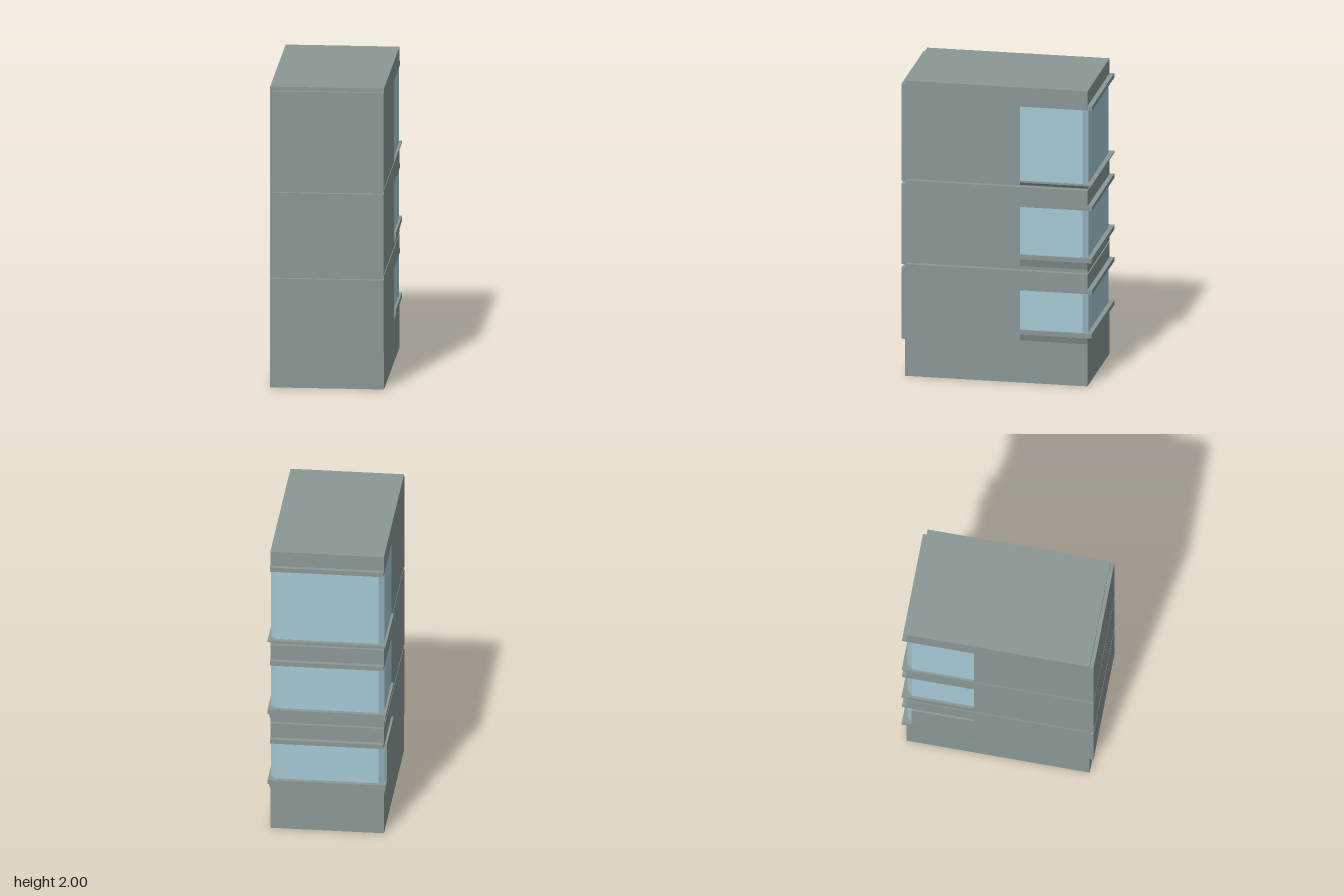
import * as THREE from 'three';

const wallMat = new THREE.MeshStandardMaterial({ color: 0x8a9896 });
const glassMat = new THREE.MeshStandardMaterial({ color: 0xa5c8d4 });

const W = 0.37, BACK = -0.6, FRONT = 0.605; // wall planes
const WIN = -0.155;                         // front edge of the corner windows
const OUT = 0.385, REAR = -0.63;            // outer planes of the trim
const CUT = 0.035;                          // chamfer of the glazed corners

// Each storey: wall bottom/top, window bottom/top, sill lip and slope bottoms, front panel
const storeys = [
  { y: [0, 0.757], win: [0.36, 0.625], lip: 0.33, slope: 0.285, panel: [0.25, 0.73] },
  { y: [0.768, 1.325], win: [0.87, 1.19], lip: 0.84, slope: 0.79, panel: [0.757, 1.3] },
  { y: [1.335, 2], win: [1.37, 1.87], lip: 1.36, slope: 1.34, panel: [1.32, 1.975] },
];

function box(name, x, y, z) {
  const g = new THREE.BoxGeometry(x[1] - x[0], y[1] - y[0], z[1] - z[0]);
  g.translate((x[0] + x[1]) / 2, (y[0] + y[1]) / 2, (z[0] + z[1]) / 2);
  const m = new THREE.Mesh(g, wallMat);
  m.name = name;
  return m;
}

function extrude(name, pts, depth, mat) {
  const shape = new THREE.Shape(pts.map(([x, y]) => new THREE.Vector2(x, y)));
  const m = new THREE.Mesh(new THREE.ExtrudeGeometry(shape, { depth, bevelEnabled: false }), mat);
  m.name = name;
  return m;
}

function buildStorey(s, index) {
  const group = new THREE.Group();
  group.name = `storey${index + 1}`;
  const [w0, w1] = s.win;

  // Walls below, beside and above the wrap-around window
  group.add(box('lowerWall', [-W, W], [s.y[0], w0], [BACK, FRONT]));
  group.add(box('middleWall', [-W, W], s.win, [WIN, FRONT]));
  group.add(box('upperWall', [-W, W], [w1, s.y[1]], [BACK, FRONT]));
  group.add(box('frontPanel', [-W, W], s.panel, [FRONT, 0.63]));

  // Glazing with chamfered rear corners, plan drawn as (x, -z)
  const glass = extrude('window', [
    [-W, -WIN], [W, -WIN], [W, -BACK - CUT], [W - CUT, -BACK],
    [-W + CUT, -BACK], [-W, -BACK - CUT],
  ], w1 - w0, glassMat);
  glass.geometry.rotateX(-Math.PI / 2).translate(0, w0, 0);
  group.add(glass);

  // Rear lintel and sill
  group.add(box('rearLintel', [-W, W], [w1, w1 + 0.03], [REAR, BACK]));
  group.add(box('rearSill', [-OUT, OUT], [s.lip, w0], [REAR, BACK]));

  // Side sills with a sloped underside
  for (const side of [-1, 1]) {
    const sill = extrude(side > 0 ? 'leftSill' : 'rightSill', [
      [side * W, w0], [side * OUT, w0], [side * OUT, s.lip], [side * W, s.slope],
    ], WIN - BACK, wallMat);
    sill.position.z = BACK;
    group.add(sill);
  }
  return group;
}

export function createModel() {
  const model = new THREE.Group();
  model.name = 'building';
  storeys.forEach((s, i) => model.add(buildStorey(s, i)));
  // Blank panel covering the lowest window on the right side
  model.add(box('sideCoverPanel', [-OUT, -W], storeys[0].win, [BACK + CUT, WIN]));
  return model;
}
